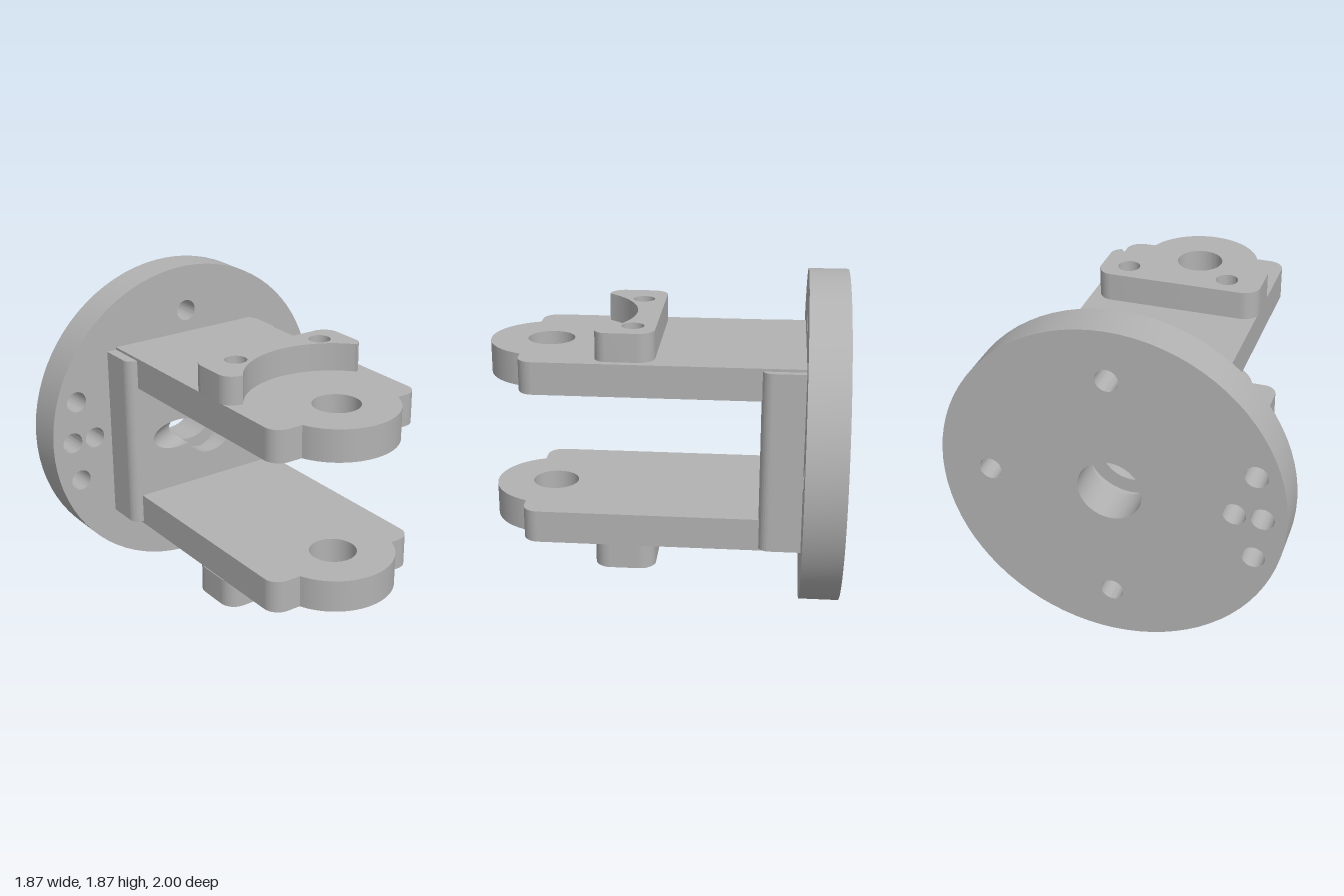
import * as THREE from 'three';
import { toCreasedNormals } from 'three/addons/utils/BufferGeometryUtils.js';

const CY = 0.94;          // height of the bore axis
const BORE = 0.175;
const FRONT = -0.545, STEP = -0.645, PLATE = -0.78, BACK = -1;

export function createModel() {
  const model = new THREE.Group();
  const grey = new THREE.MeshStandardMaterial({ color: 0xb2b2b2, side: THREE.DoubleSide });

  const add = (name, geo, x = 0, y = 0, z = 0) => {
    const mesh = new THREE.Mesh(geo, grey);
    mesh.name = name;
    mesh.position.set(x, y, z);
    model.add(mesh);
    return mesh;
  };
  const circle = (x, y, r) => new THREE.Path().absarc(x, y, r, 0, Math.PI * 2, true);
  const extrude = (shape, depth) => toCreasedNormals(
    new THREE.ExtrudeGeometry(shape, { depth, bevelEnabled: false, curveSegments: 40 }), 0.5);
  // Plan shapes are drawn in (x, z) and extruded downwards from the top height
  const slab = (name, shape, top, bottom) =>
    add(name, extrude(shape, top - bottom).rotateX(Math.PI / 2), 0, top, 0);

  // Round mounting plate with bolt holes
  const plate = new THREE.Shape().absarc(0, 0, 0.937, 0, Math.PI * 2, false);
  plate.holes.push(circle(0, 0, BORE));
  for (const [x, y] of [[0.663, 0], [-0.663, 0], [-0.81, 0], [-0.77, 0.25], [-0.77, -0.25], [0, 0.663], [0, -0.663]]) {
    plate.holes.push(circle(x, y, 0.062));
  }
  add('mountingPlate', extrude(plate, PLATE - BACK), 0, CY, BACK);

  // Hub block: rounded sides, then top and bottom fillers around the bored centre
  const hubTop = 1.455, hubBottom = 0.43, r = 0.06;
  const hubSide = (outer, inner) => {
    const s = Math.sign(outer);
    const shape = new THREE.Shape();
    shape.moveTo(inner, PLATE);
    shape.lineTo(outer, PLATE);
    shape.lineTo(outer, FRONT - r);
    shape.absarc(outer - s * r, FRONT - r, r, s > 0 ? 0 : Math.PI, Math.PI / 2, s < 0);
    shape.lineTo(inner, FRONT);
    return shape;
  };
  slab('hubLeftSide', hubSide(0.51, 0.42), hubTop, hubBottom);
  slab('hubRightSide', hubSide(-0.55, -0.42), hubTop, hubBottom);
  const half = 0.3, depth = FRONT - PLATE;
  for (const [name, low, high] of [['hubTop', CY + half, hubTop], ['hubBottom', hubBottom, CY - half]]) {
    add(name, new THREE.BoxGeometry(0.84, high - low, depth), 0, (low + high) / 2, (FRONT + PLATE) / 2);
  }

  // Bore joined by a slanted oil passage: outline radius at an angle, t = 0 front to 1 step
  const ea = 0.17, eb = 0.0875;
  const outlineRadius = (angle, t) => {
    const cx = -0.23 + 0.17 * t, c = Math.cos(angle), s = Math.sin(angle);
    const A = (c / ea) ** 2 + (s / eb) ** 2, B = -c * cx / ea ** 2, C = (cx / ea) ** 2 - 1;
    const D = B * B - A * C;
    return D < 0 ? BORE : Math.max(BORE, (-B + Math.sqrt(D)) / A);
  };
  const N = 144, M = 12;
  const outline = (t) => Array.from({ length: N }, (_, i) => {
    const a = i / N * Math.PI * 2, rad = outlineRadius(a, t);
    return new THREE.Vector2(rad * Math.cos(a), rad * Math.sin(a));
  });
  const hubFace = (t) => {
    const shape = new THREE.Shape([[-0.42, -half], [0.42, -half], [0.42, half], [-0.42, half]]
      .map(([x, y]) => new THREE.Vector2(x, y)));
    shape.holes.push(new THREE.Path(outline(t)));
    return new THREE.ShapeGeometry(shape);
  };
  add('hubFrontFace', hubFace(0), 0, CY, FRONT);
  add('hubInnerStep', hubFace(1).rotateY(0), 0, CY, STEP);

  const pos = [], index = [];
  for (let j = 0; j <= M; j++) {
    for (const p of outline(j / M)) pos.push(p.x, p.y, FRONT + (STEP - FRONT) * j / M);
  }
  for (let j = 0; j < M; j++) {
    for (let i = 0; i < N; i++) {
      const a = j * N + i, b = j * N + (i + 1) % N;
      index.push(a, b, a + N, b, b + N, a + N);
    }
  }
  const bore = new THREE.BufferGeometry();
  bore.setAttribute('position', new THREE.Float32BufferAttribute(pos, 3));
  bore.setIndex(index);
  add('boreAndPassage', toCreasedNormals(bore, 0.5), 0, CY, 0);

  // Wider bearing recess behind the step
  add('bearingRecess', new THREE.CylinderGeometry(0.26, 0.26, STEP - PLATE, 64, 1, true).rotateX(Math.PI / 2),
    0, CY, (STEP + PLATE) / 2);

  // Fork arms with rounded nose and pin hole
  const arm = new THREE.Shape();
  const nose = Math.asin(0.12 / 0.34);
  arm.moveTo(-0.49, PLATE);
  arm.lineTo(0.47, PLATE);
  arm.lineTo(0.47, 0.685);
  arm.absarc(0.38, 0.685, 0.09, 0, Math.PI / 2, false);
  arm.absarc(0, 0.655, 0.342, nose, Math.PI - nose, false);
  arm.absarc(-0.4, 0.685, 0.09, Math.PI / 2, Math.PI, false);
  arm.holes.push(circle(0, 0.655, 0.132));
  slab('upperArm', arm, 1.47, 1.287);
  slab('lowerArm', arm, 0.6, 0.415);

  // Stop pads: the upper one is scooped around the pin, the lower one is plain
  const pad = (scooped) => {
    const shape = new THREE.Shape();
    shape.moveTo(-0.405, 0.033);
    shape.absarc(0.34, 0.123, 0.09, -Math.PI / 2, 0, false);
    if (scooped) {
      shape.lineTo(0.43, 0.3);
      shape.quadraticCurveTo(0.425, 0.335, 0.385, 0.355);
      shape.absarc(0, 0.655, 0.489, -0.667, -2.526, true);
    } else {
      shape.absarc(0.34, 0.283, 0.09, 0, Math.PI / 2, false);
    }
    shape.absarc(-0.405, 0.283, 0.09, Math.PI / 2, Math.PI, false);
    shape.absarc(-0.405, 0.123, 0.09, Math.PI, Math.PI * 1.5, false);
    shape.holes.push(circle(-0.295, 0.16, 0.062), circle(0.275, 0.16, 0.062));
    return shape;
  };
  slab('upperPad', pad(true), 1.63, 1.47);
  slab('lowerPad', pad(false), 0.415, 0.255);

  return model;
}
